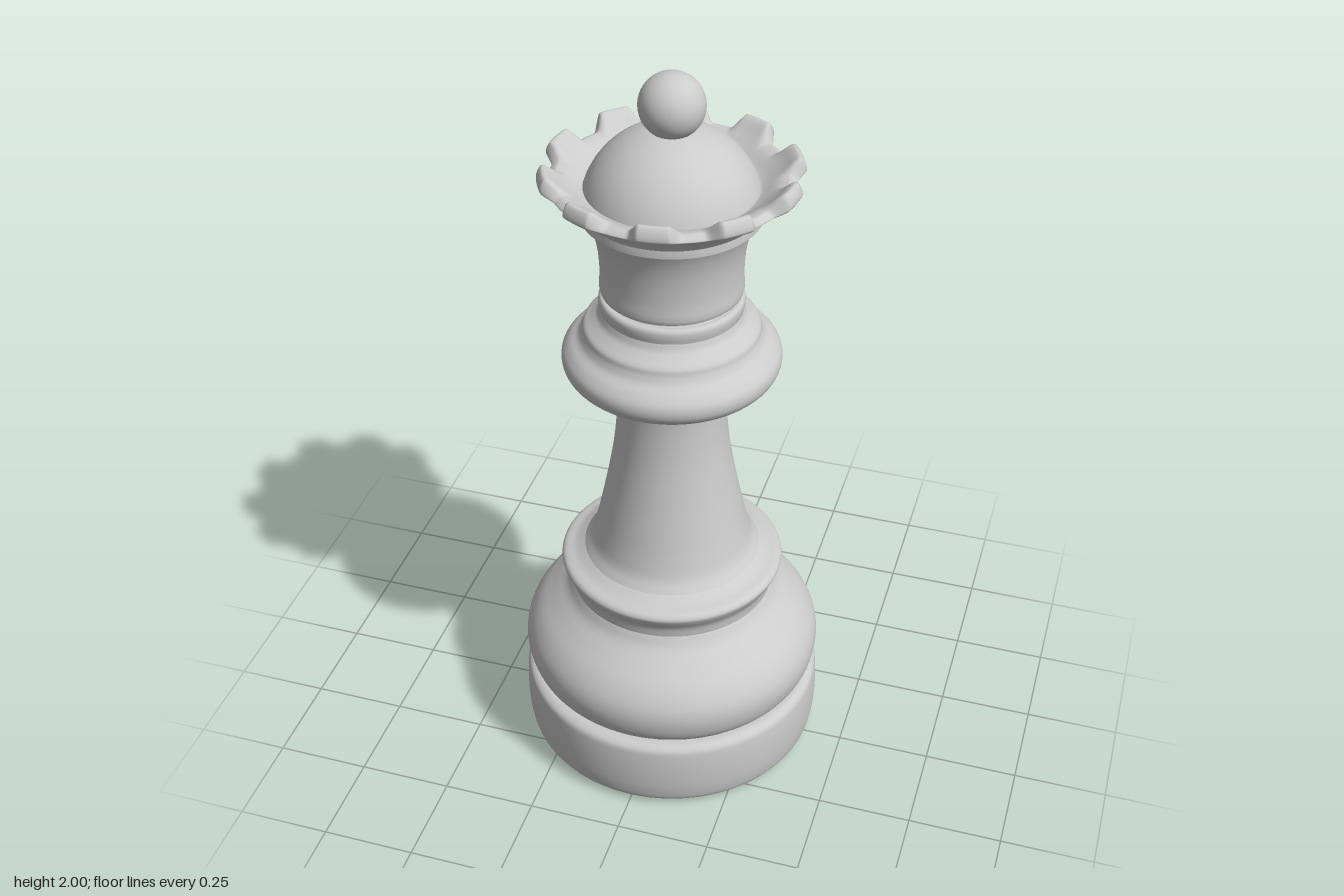
import * as THREE from 'three';
import { mergeVertices } from 'three/addons/utils/BufferGeometryUtils.js';

const material = new THREE.MeshStandardMaterial({ color: 0xcccccc, side: THREE.DoubleSide });

// Smooth [radius, height] profile, sampled evenly per control point
function profile(points, perSpan = 5) {
  const curve = new THREE.CatmullRomCurve3(points.map(([r, y]) => new THREE.Vector3(r, y, 0)));
  const out = [];
  const n = (points.length - 1) * perSpan;
  for (let i = 0; i <= n; i++) {
    const p = curve.getPoint(i / n);
    out.push(new THREE.Vector2(Math.max(p.x, 0), Math.max(p.y, 0)));
  }
  return out;
}

function addMesh(group, name, geometry) {
  const mesh = new THREE.Mesh(geometry, material);
  mesh.name = name;
  group.add(mesh);
  return mesh;
}

function turned(group, name, points) {
  return addMesh(group, name, new THREE.LatheGeometry(profile(points), 96));
}

// Flared bowl whose rim blends between a tooth profile and a notch profile
function crownGeometry() {
  const wall = [[0.165, 1.418], [0.178, 1.424], [0.178, 1.48], [0.185, 1.56], [0.207, 1.63], [0.242, 1.68]];
  const tooth = [...wall, [0.29, 1.718], [0.316, 1.73], [0.323, 1.74], [0.312, 1.769], [0.3, 1.77], [0.262, 1.738], [0.21, 1.705], [0.17, 1.7]];
  const notch = [...wall, [0.278, 1.708], [0.295, 1.72], [0.298, 1.724], [0.282, 1.736], [0.274, 1.736], [0.253, 1.73], [0.21, 1.705], [0.17, 1.7]];
  const segments = 360;
  const geometry = new THREE.LatheGeometry(profile(tooth, 4), segments);
  const low = new THREE.LatheGeometry(profile(notch, 4), segments).attributes.position;
  const pos = geometry.attributes.position;
  const a = new THREE.Vector3(), b = new THREE.Vector3();
  const step = 36, offset = 9;
  for (let i = 0; i < pos.count; i++) {
    a.fromBufferAttribute(pos, i);
    b.fromBufferAttribute(low, i);
    const angle = THREE.MathUtils.radToDeg(Math.atan2(a.z, a.x)) - offset;
    const away = Math.abs(angle - Math.round(angle / step) * step);
    // steep side walls, then a rounded hollow
    const t = THREE.MathUtils.clamp((away - 6.8) / 6.2, 0, 1);
    a.lerp(b, THREE.MathUtils.smoothstep(t, -0.15, 1) * Math.min(1, t * 5));
    pos.setXYZ(i, a.x, a.y, a.z);
  }
  geometry.deleteAttribute('uv');
  geometry.deleteAttribute('normal');
  const merged = mergeVertices(geometry, 1e-5);
  merged.computeVertexNormals();
  return merged;
}

export function createModel() {
  const model = new THREE.Group();
  model.name = 'chessQueen';

  // Foot
  turned(model, 'base', [
    [0, 0], [0.33, 0], [0.37, 0.004], [0.395, 0.018], [0.405, 0.05], [0.41, 0.11],
    [0.408, 0.18], [0.403, 0.205], [0.388, 0.216], [0.365, 0.218],
  ]);
  turned(model, 'belly', [
    [0.365, 0.218], [0.378, 0.228], [0.395, 0.255], [0.405, 0.305], [0.398, 0.35],
    [0.37, 0.398], [0.325, 0.442], [0.29, 0.475], [0.273, 0.505],
  ]);
  turned(model, 'skirtRing', [
    [0.273, 0.505], [0.278, 0.535], [0.294, 0.565], [0.299, 0.58], [0.292, 0.592], [0.262, 0.602], [0.236, 0.617],
  ]);

  // Stem
  turned(model, 'stem', [
    [0.236, 0.617], [0.217, 0.645], [0.203, 0.69], [0.185, 0.77], [0.167, 0.86],
    [0.152, 0.95], [0.144, 1.03], [0.142, 1.1], [0.148, 1.145], [0.165, 1.168],
  ]);

  // Collar and neck
  turned(model, 'collar', [
    [0.165, 1.168], [0.215, 1.172], [0.256, 1.186], [0.277, 1.212], [0.278, 1.243],
    [0.261, 1.268], [0.237, 1.287], [0.227, 1.305], [0.222, 1.322], [0.203, 1.338],
    [0.188, 1.352], [0.18, 1.37],
  ]);
  turned(model, 'neckBand', [
    [0.18, 1.37], [0.183, 1.388], [0.182, 1.402], [0.176, 1.409], [0.163, 1.41], [0.163, 1.42],
  ]);

  // Crown, dome and finial ball
  addMesh(model, 'crown', crownGeometry());
  const dome = addMesh(model, 'dome', new THREE.SphereGeometry(0.225, 64, 24, 0, Math.PI * 2, 0, Math.PI / 2));
  dome.position.y = 1.637;
  const ball = addMesh(model, 'finialBall', new THREE.SphereGeometry(0.081, 48, 32));
  ball.position.y = 1.919;

  return model;
}
